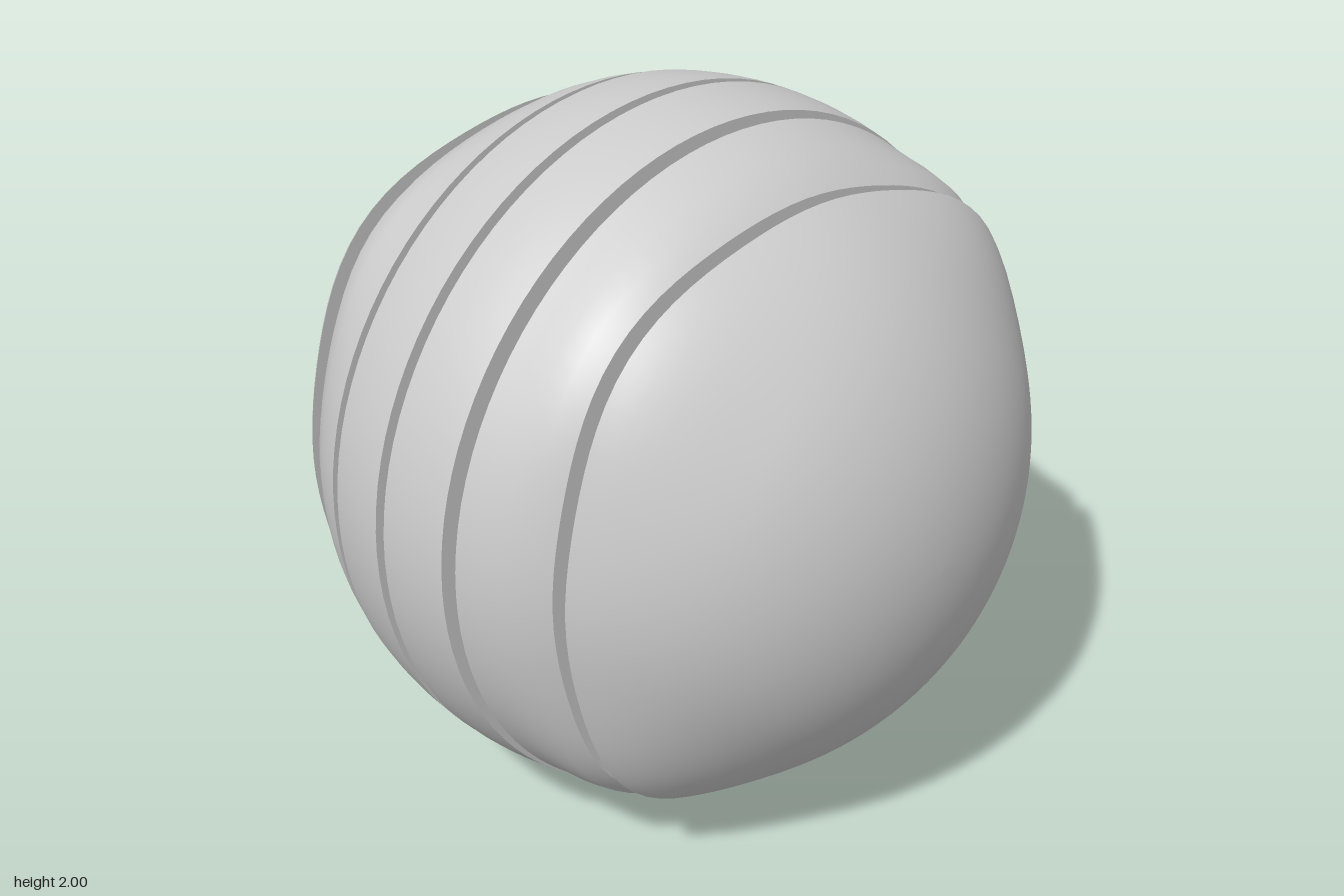
import * as THREE from 'three';

const SIDES = 96;
const smooth = THREE.MathUtils.smoothstep;

// Ball radius around the z axis, squared off on the diagonals near |z| = 0.5
function radiusAt(z, angle, base) {
  const bulge = 0.05 * smooth(z, 0.26, 0.5) * (1 - smooth(z, 0.53, 0.8));
  return base + bulge * Math.pow(Math.sin(2 * angle), 4);
}

// Closed slab from a profile of [z, radius] pairs, ordered from back to front
function slabGeometry(profile) {
  const pos = [], idx = [];
  const addRing = ([z, base]) => {
    const start = pos.length / 3;
    for (let i = 0; i < SIDES; i++) {
      const a = (i / SIDES) * Math.PI * 2;
      const r = base < 1e-4 ? 0 : radiusAt(z, a, base);
      pos.push(r * Math.cos(a), r * Math.sin(a), z);
    }
    return start;
  };

  // Outer skin
  const rings = profile.map(addRing);
  for (let k = 0; k < rings.length - 1; k++) {
    for (let i = 0; i < SIDES; i++) {
      const j = (i + 1) % SIDES;
      const a = rings[k] + i, b = rings[k] + j;
      const c = rings[k + 1] + i, d = rings[k + 1] + j;
      idx.push(a, b, d, a, d, c);
    }
  }

  // Flat cut faces with their own vertices, so the rims stay sharp
  const addCut = (point, facesFront) => {
    if (point[1] < 1e-4) return;
    const start = addRing(point);
    const centre = pos.length / 3;
    pos.push(0, 0, point[0]);
    for (let i = 0; i < SIDES; i++) {
      const a = start + i, b = start + ((i + 1) % SIDES);
      if (facesFront) idx.push(centre, a, b);
      else idx.push(centre, b, a);
    }
  };
  addCut(profile[0], false);
  addCut(profile[profile.length - 1], true);

  const geometry = new THREE.BufferGeometry();
  geometry.setAttribute('position', new THREE.Float32BufferAttribute(pos, 3));
  geometry.setIndex(idx);
  geometry.computeVertexNormals();
  return geometry;
}

// Spherical profile between two depths, evenly spaced by angle
function arcProfile(z0, z1, steps) {
  const a0 = Math.asin(z0), a1 = Math.asin(z1);
  return Array.from({ length: steps + 1 }, (_, i) => {
    const a = a0 + ((a1 - a0) * i) / steps;
    return [Math.sin(a), Math.cos(a)];
  });
}

export function createModel() {
  const group = new THREE.Group();
  group.name = 'slicedBall';
  const material = new THREE.MeshStandardMaterial({ color: 0xcccccc });

  const slabs = {
    InnerSlice: slabGeometry(arcProfile(0.017, 0.223, 4)),
    MiddleSlice: slabGeometry([[0.262, 0.962], [0.32, 0.943], [0.38, 0.918], [0.44, 0.885], [0.488, 0.842]]),
    EndDome: slabGeometry(arcProfile(0.537, 1, 28)),
  };

  // Three slices in front, and the same three turned round for the back
  for (const side of ['front', 'back']) {
    for (const [name, geometry] of Object.entries(slabs)) {
      const mesh = new THREE.Mesh(geometry, material);
      mesh.name = side + name;
      mesh.position.y = 1;
      if (side === 'back') mesh.rotation.y = Math.PI;
      group.add(mesh);
    }
  }
  return group;
}
